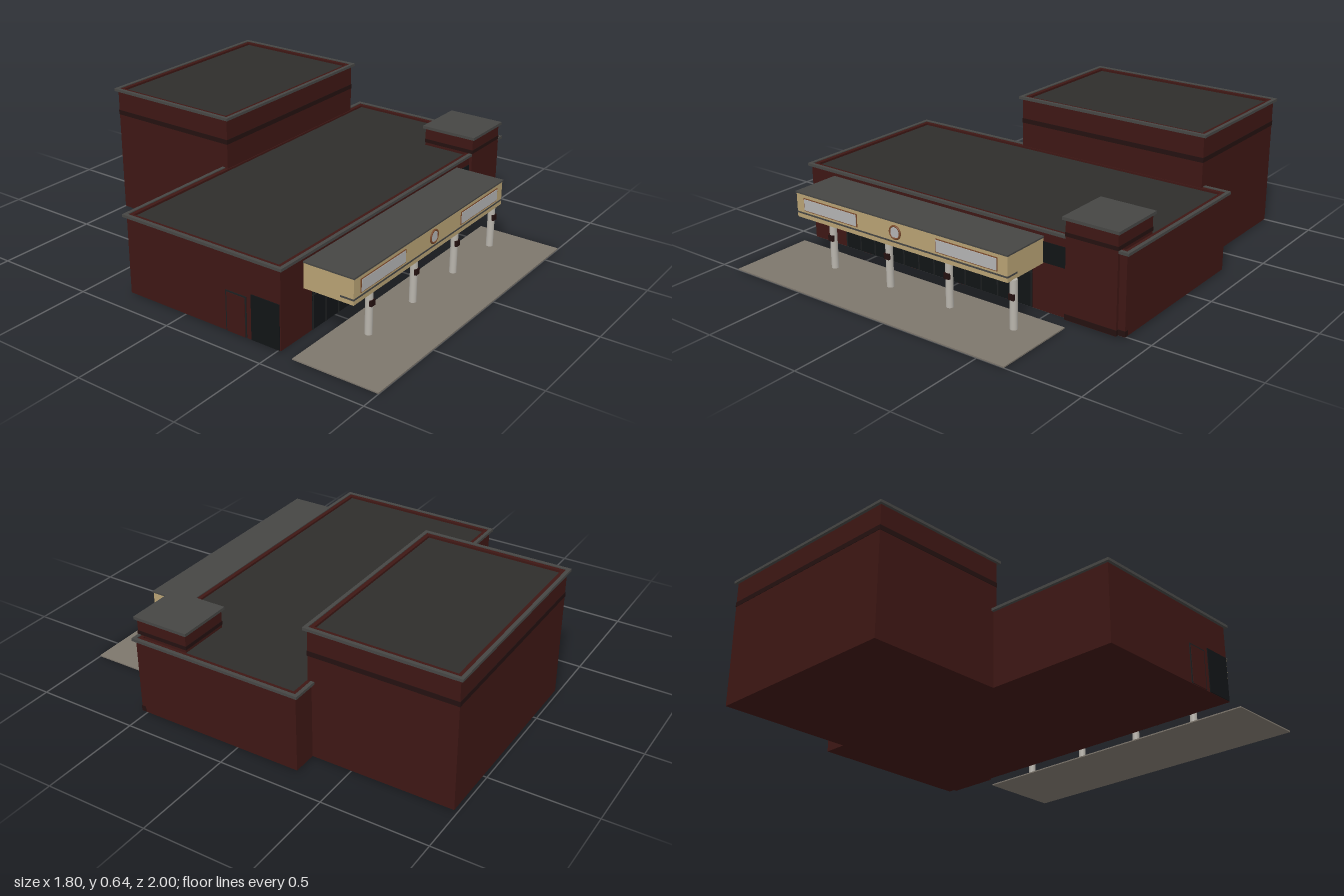
import * as THREE from 'three';

const mat = (color) => new THREE.MeshStandardMaterial({ color });
const brick = mat(0x3e1714), brickDark = mat(0x241110), trim = mat(0x464644), roofing = mat(0x2e2d2b);
const glass = mat(0x111416), frame = mat(0x1d1f20), cream = mat(0xb8a274), white = mat(0xb8b4ac);
const panel = mat(0xb4b4b4), paving = mat(0x7d766c), copper = mat(0x7a4a2c);

// Box given by its limits on each axis
function block(parent, name, material, [x0, x1], [y0, y1], [z0, z1]) {
  const mesh = new THREE.Mesh(new THREE.BoxGeometry(x1 - x0, y1 - y0, z1 - z0), material);
  mesh.position.set((x0 + x1) / 2, (y0 + y1) / 2, (z0 + z1) / 2);
  mesh.name = name;
  parent.add(mesh);
  return mesh;
}

// Flat rectangular ring of the given border width, lying between y0 and y1
function ring(parent, name, material, [x0, x1], [y0, y1], [z0, z1], w) {
  const rect = (Type, a, b, c, d) => new Type([[a, c], [b, c], [b, d], [a, d]].map(p => new THREE.Vector2(...p)));
  const shape = rect(THREE.Shape, x0, x1, -z1, -z0);
  shape.holes.push(rect(THREE.Path, x0 + w, x1 - w, -z1 + w, -z0 - w));
  const geo = new THREE.ExtrudeGeometry(shape, { depth: y1 - y0, bevelEnabled: false });
  geo.rotateX(-Math.PI / 2);
  const mesh = new THREE.Mesh(geo, material);
  mesh.position.y = y0;
  mesh.name = name;
  parent.add(mesh);
}

// Brick volume with a sunken flat roof, parapet and metal coping
function building(name, x, top, z) {
  const g = new THREE.Group();
  g.name = name;
  const grow = ([a, b], d) => [a - d, b + d];
  block(g, 'walls', brick, x, [0.008, top - 0.02], z);
  ring(g, 'parapet', brick, x, [top - 0.02, top - 0.004], z, 0.022);
  block(g, 'roof', roofing, grow(x, -0.022), [top - 0.02, top - 0.014], grow(z, -0.022));
  ring(g, 'coping', trim, grow(x, 0.014), [top - 0.013, top], grow(z, 0.014), 0.017);
  return g;
}

export function createModel() {
  const model = new THREE.Group();
  model.name = 'storeBuilding';

  // Main hall and taller rear hall
  model.add(building('mainHall', [-0.886, 0.886], 0.388, [-0.312, 0.52]));
  const rear = building('rearHall', [-0.237, 0.768], 0.64, [-0.986, -0.294]);
  ring(rear, 'wallBand', brickDark, [-0.239, 0.77], [0.505, 0.528], [-0.988, -0.292], 0.01);
  model.add(rear);

  // Corner tower
  const tower = new THREE.Group();
  tower.name = 'cornerTower';
  block(tower, 'towerWalls', brick, [0.598, 0.852], [0.008, 0.462], [0.272, 0.535]);
  block(tower, 'towerBand', brickDark, [0.596, 0.854], [0.388, 0.406], [0.27, 0.537]);
  block(tower, 'towerCap', trim, [0.587, 0.862], [0.461, 0.475], [0.262, 0.546]);
  block(tower, 'towerPlinth', brickDark, [0.596, 0.854], [0.01, 0.036], [0.5, 0.537]);
  block(tower, 'cornerPlinth', brickDark, [0.854, 0.888], [0.01, 0.036], [0.5, 0.522]);
  model.add(tower);

  // Glazed shopfront with mullions
  const shop = new THREE.Group();
  shop.name = 'shopfront';
  block(shop, 'frontGlass', glass, [-0.676, 0.42], [0.01, 0.24], [0.51, 0.523]);
  block(shop, 'upperWindow', glass, [0.42, 0.597], [0.235, 0.33], [0.51, 0.523]);
  for (let i = 0; i <= 12; i++) {
    const x = -0.672 + i * 0.0907;
    block(shop, 'mullion', frame, [x - 0.003, x + 0.003], [0.01, 0.24], [0.52, 0.526]);
  }
  block(shop, 'transom', frame, [-0.676, 0.42], [0.17, 0.176], [0.52, 0.525]);
  // Side window and service door
  block(shop, 'sideGlass', glass, [-0.89, -0.88], [0.01, 0.22], [0.37, 0.515]);
  block(shop, 'sideDoorFrame', frame, [-0.889, -0.88], [0.01, 0.2], [0.235, 0.345]);
  block(shop, 'sideDoor', brick, [-0.891, -0.88], [0.01, 0.193], [0.242, 0.338]);
  model.add(shop);

  // Canopy with sign panels and a plain round badge
  const canopy = new THREE.Group();
  canopy.name = 'canopy';
  block(canopy, 'canopyBody', cream, [-0.734, 0.476], [0.23, 0.347], [0.518, 0.766]);
  block(canopy, 'canopyRoof', trim, [-0.738, 0.48], [0.347, 0.354], [0.518, 0.77]);
  block(canopy, 'canopyStripe', trim, [-0.735, 0.477], [0.25, 0.258], [0.7, 0.767]);
  for (const x of [-0.522, 0.261]) {
    block(canopy, 'signFrame', copper, [x - 0.165, x + 0.165], [0.268, 0.33], [0.76, 0.769]);
    block(canopy, 'signPanel', panel, [x - 0.161, x + 0.161], [0.272, 0.326], [0.76, 0.771]);
  }
  const badge = new THREE.Mesh(new THREE.TorusGeometry(0.029, 0.005, 8, 28), copper);
  badge.position.set(-0.131, 0.3, 0.768);
  badge.name = 'badgeRing';
  canopy.add(badge);
  block(canopy, 'badgePlate', panel, [-0.154, -0.108], [0.277, 0.323], [0.76, 0.771]);
  model.add(canopy);

  // Round columns with a lamp box on the front of each
  for (let i = 0; i < 4; i++) {
    const x = -0.556 + i * 0.343, z = 0.722;
    const column = new THREE.Group();
    column.name = 'column';
    const shaft = new THREE.Mesh(new THREE.CylinderGeometry(0.017, 0.017, 0.228, 20), white);
    shaft.position.set(x, 0.118, z);
    shaft.name = 'shaft';
    column.add(shaft);
    block(column, 'lampBox', brickDark, [x - 0.014, x + 0.014], [0.142, 0.17], [z, z + 0.021]);
    model.add(column);
  }

  // Forecourt paving
  block(model, 'paving', paving, [-0.9, 0.635], [0, 0.006], [0.587, 1]);
  return model;
}
